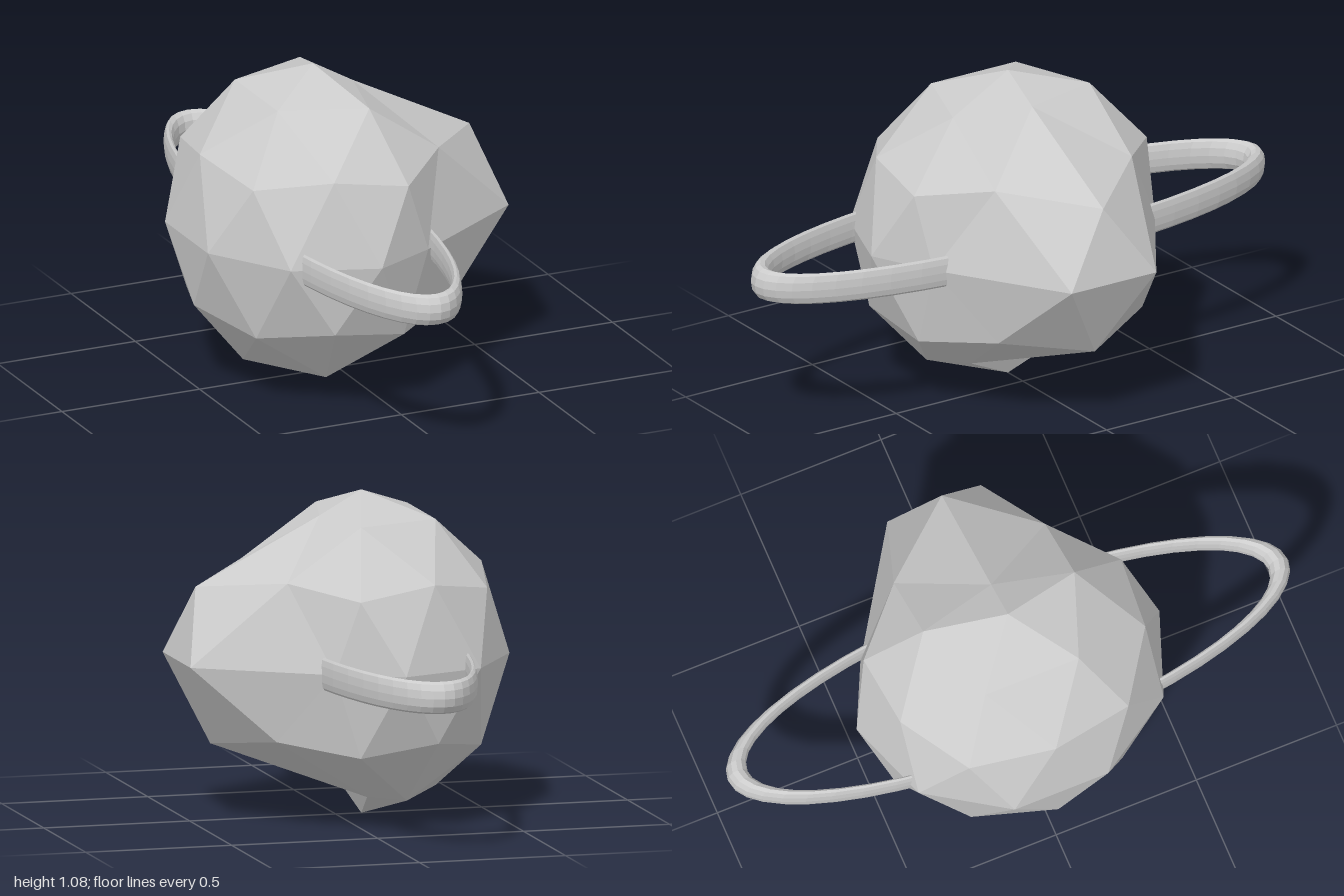
import * as THREE from 'three';

export function createModel() {
  const group = new THREE.Group();
  const material = new THREE.MeshStandardMaterial({ color: 0xcccccc, flatShading: true });
  const centre = new THREE.Vector3(-0.088, 0.54, 0);

  // Faceted body: low-poly sphere with a vertex at each pole, slightly narrow in x
  const bodyGeometry = new THREE.IcosahedronGeometry(0.54, 1);
  bodyGeometry.rotateZ(-Math.atan(2 / (1 + Math.sqrt(5))));
  bodyGeometry.scale(0.895, 1, 1);

  // Stretch the +x cap outwards into a blunt snout
  const p = bodyGeometry.attributes.position;
  for (let i = 0; i < p.count; i++) {
    const x = p.getX(i);
    if (x > 0.17) p.setX(i, 0.334 + 2.38 * (x - 0.334));
  }
  bodyGeometry.computeVertexNormals();
  const body = new THREE.Mesh(bodyGeometry, material);
  body.name = 'body';
  body.position.copy(centre);
  group.add(body);

  // Elliptical ring passing through the body, long in z
  const ringGeometry = new THREE.TorusGeometry(0.964, 0.036, 12, 48);
  ringGeometry.rotateX(Math.PI / 2);
  ringGeometry.scale(0.278, 1.5, 1);
  const ring = new THREE.Mesh(ringGeometry, material);
  ring.name = 'ring';
  ring.position.copy(centre);
  group.add(ring);

  return group;
}
